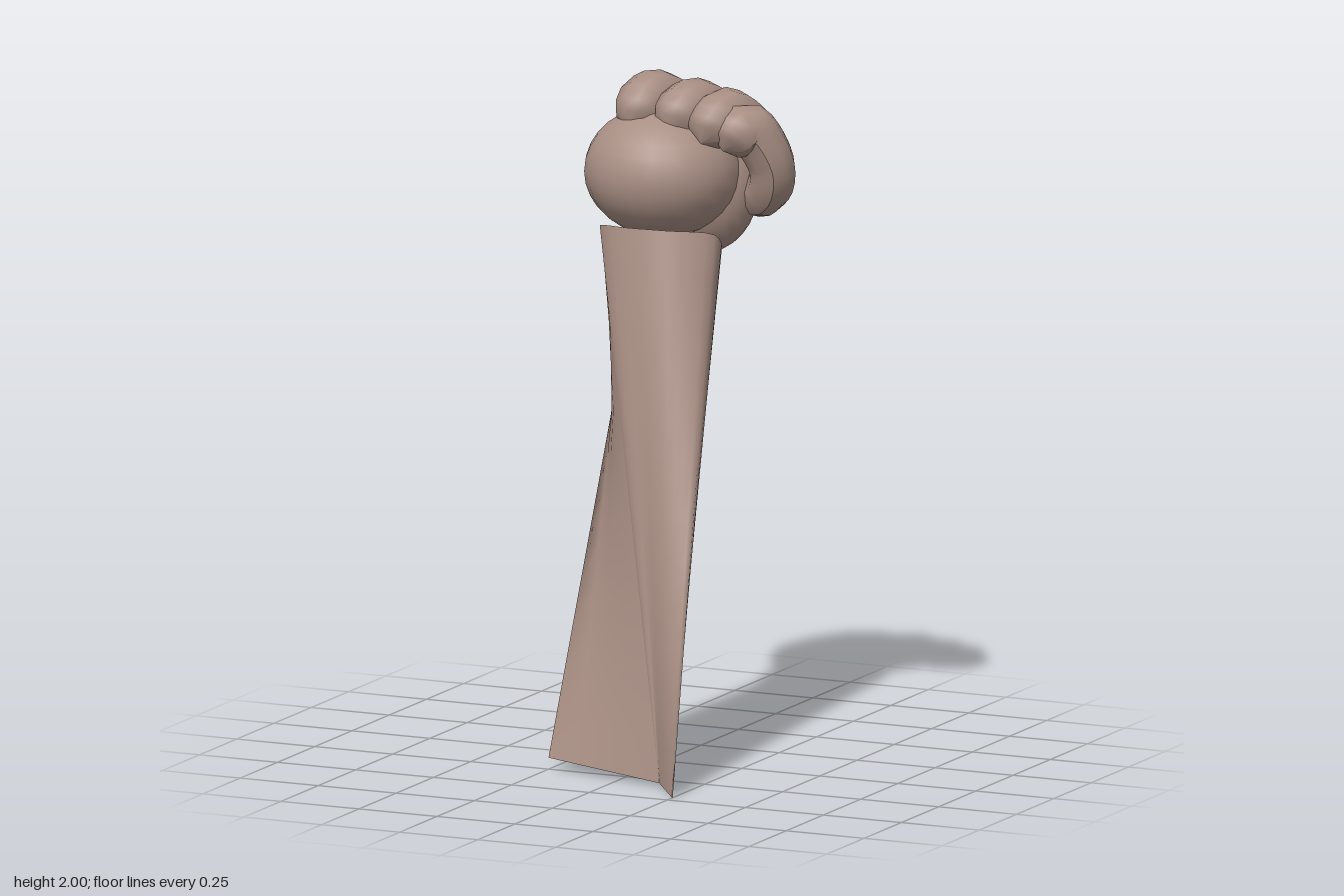
import * as THREE from 'three';

const skin = new THREE.MeshStandardMaterial({ color: 0xa98f84, side: THREE.DoubleSide });
const vec = (p) => new THREE.Vector3(...p);

function addMesh(group, geometry, name) {
  const mesh = new THREE.Mesh(geometry, skin);
  mesh.name = name;
  group.add(mesh);
  return mesh;
}

function ellipsoid(group, name, center, radii) {
  const mesh = addMesh(group, new THREE.SphereGeometry(1, 24, 16), name);
  mesh.position.set(...center);
  mesh.scale.set(...radii);
}

// Tube along a curve whose radius grows from start to end, with rounded ends
function digit(group, name, points, radiusStart, radiusEnd, roundness) {
  const curve = new THREE.CatmullRomCurve3(points.map(vec));
  const steps = 20, sides = 10;
  const geometry = new THREE.TubeGeometry(curve, steps, 1, sides);
  const pos = geometry.attributes.position;
  const v = new THREE.Vector3();
  for (let i = 0; i <= steps; i++) {
    const t = i / steps;
    const c = curve.getPointAt(t);
    const edge = Math.min(1, Math.min(t, 1 - t) / roundness);
    const r = THREE.MathUtils.lerp(radiusStart, radiusEnd, t) * Math.sqrt(1 - (1 - edge) ** 2);
    for (let j = 0; j <= sides; j++) {
      const k = i * (sides + 1) + j;
      v.fromBufferAttribute(pos, k).sub(c).multiplyScalar(r).add(c);
      pos.setXYZ(k, v.x, v.y, v.z);
    }
  }
  geometry.computeVertexNormals();
  addMesh(group, geometry, name);
}

// Forearm: a round wrist whose points run down to a thin, bent lower edge
function forearm(group) {
  const A = vec([0.255, 0, 0.475]), B = vec([-0.248, 0.035, 0.255]), C = vec([0.15, 0.012, 0.345]);
  const mid = (a, b) => a.clone().lerp(b, 0.5);
  const wrist = [
    [-0.215, 1.56, -0.02], [-0.1, 1.57, 0.025], [0.02, 1.57, 0.015], [0.125, 1.55, -0.08],
    [0.1, 1.48, -0.17], [0.02, 1.44, -0.2], [-0.08, 1.44, -0.21], [-0.165, 1.48, -0.2],
  ].map(vec);
  const hem = [C, C, mid(C, A), A, mid(A, C), C, mid(C, B), B];
  const top = new THREE.CatmullRomCurve3(wrist, true);
  const perSpan = 4, n = wrist.length * perSpan, rows = 12;
  const positions = [], index = [];
  for (let r = 0; r <= rows; r++) {
    for (let i = 0; i <= n; i++) {
      const span = Math.floor(i / perSpan) % hem.length;
      const low = hem[span].clone().lerp(hem[(span + 1) % hem.length], (i % perSpan) / perSpan);
      const p = top.getPoint((i % n) / n).lerp(low, r / rows);
      positions.push(p.x, p.y, p.z);
      if (r < rows && i < n) {
        const a = r * (n + 1) + i, b = a + n + 1;
        index.push(a, b, a + 1, b, b + 1, a + 1);
      }
    }
  }
  const geometry = new THREE.BufferGeometry();
  geometry.setAttribute('position', new THREE.Float32BufferAttribute(positions, 3));
  geometry.setIndex(index);
  geometry.computeVertexNormals();
  addMesh(group, geometry, 'forearm');
}

export function createModel() {
  const group = new THREE.Group();
  group.name = 'raisedFist';

  forearm(group);
  ellipsoid(group, 'handBall', [-0.075, 1.71, -0.155], [0.232, 0.192, 0.225]);
  ellipsoid(group, 'palm', [0.01, 1.66, -0.24], [0.17, 0.2, 0.13]);

  // Curled fingers, from knuckle over the back to the tip
  const fingers = {
    indexFinger: [[-0.14, 1.84, -0.06], [-0.12, 1.925, -0.16], [-0.06, 1.85, -0.3],
      [-0.02, 1.77, -0.385], [0, 1.67, -0.36], [0, 1.62, -0.25]],
    middleFinger: [[-0.02, 1.84, -0.06], [0.01, 1.912, -0.16], [0.07, 1.83, -0.3],
      [0.1, 1.74, -0.355], [0.09, 1.66, -0.34], [0.06, 1.62, -0.25]],
    ringFinger: [[0.09, 1.82, -0.06], [0.12, 1.895, -0.16], [0.175, 1.8, -0.27],
      [0.185, 1.71, -0.31], [0.16, 1.65, -0.3], [0.11, 1.62, -0.25]],
    littleFinger: [[0.15, 1.8, -0.08], [0.19, 1.86, -0.15], [0.245, 1.76, -0.2],
      [0.24, 1.69, -0.22], [0.19, 1.64, -0.25], [0.13, 1.63, -0.26]],
  };
  for (const [name, path] of Object.entries(fingers)) digit(group, name, path, 0.08, 0.062, 0.16);

  // Thumb, widening from its base to a blunt tip
  digit(group, 'thumb', [[-0.27, 1.67, -0.15], [-0.265, 1.68, -0.26], [-0.215, 1.7, -0.375],
    [-0.09, 1.71, -0.43]], 0.045, 0.075, 0.08);

  return group;
}
